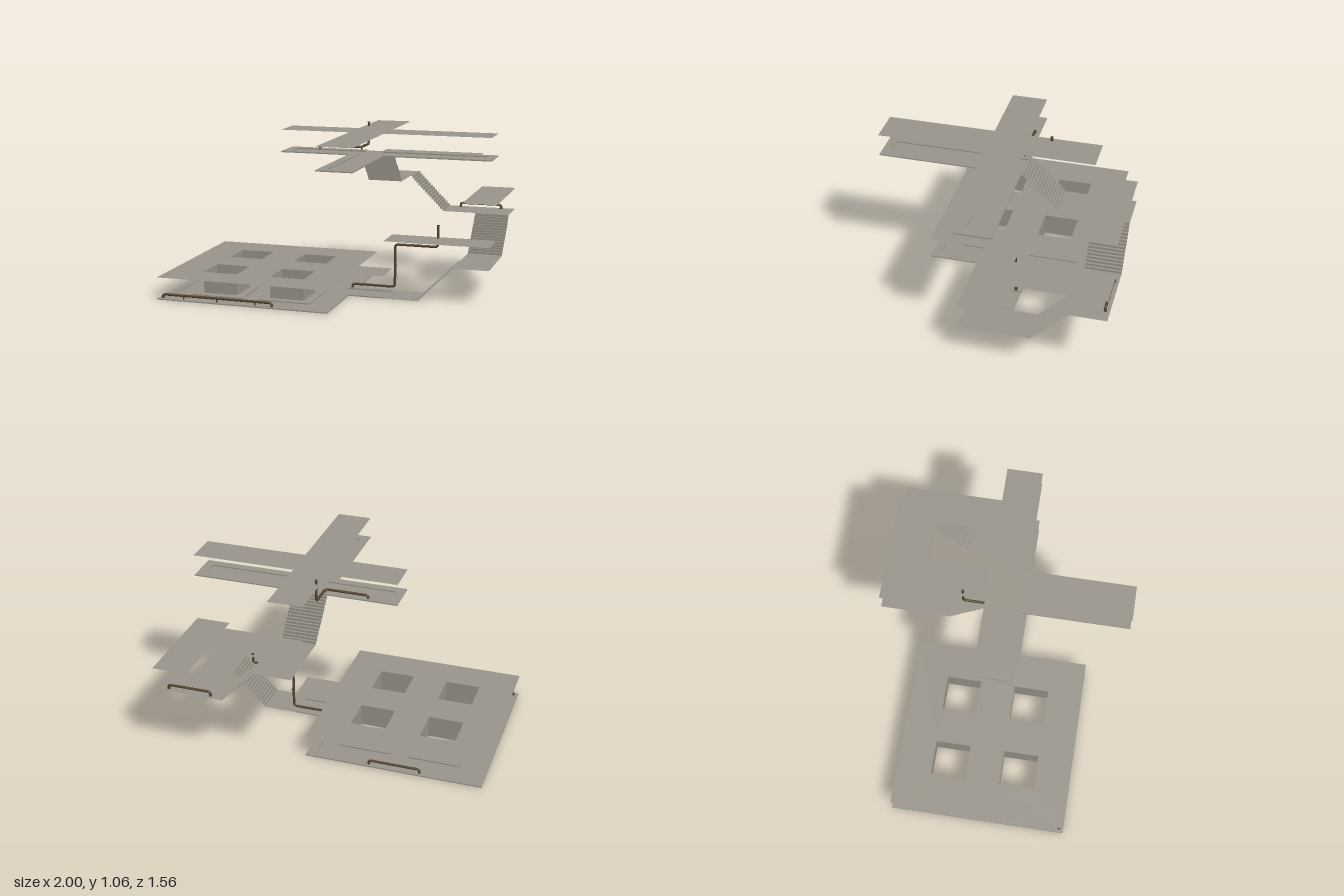
import * as THREE from 'three';
import { mergeGeometries } from 'three/addons/utils/BufferGeometryUtils.js';

const U = 2 / 9;                 // one grid cell
const X = c => -1 + c * U;       // column edge
const Z = r => (r - 3.5) * U;    // row edge
const RISE = 0.2235;             // height gained per flight
const ROOM = 0.142;              // floor to ceiling

export function createModel() {
  const model = new THREE.Group();
  const concrete = new THREE.MeshStandardMaterial({ color: 0x98948a, side: THREE.DoubleSide });
  concrete.name = 'concrete';
  const bronze = new THREE.MeshStandardMaterial({ color: 0x54452e });
  bronze.name = 'bronze pipe';
  const lampGrey = new THREE.MeshStandardMaterial({ color: 0x8c8982 });
  lampGrey.name = 'lamp grey';

  const add = (name, geo, mat) => {
    const mesh = new THREE.Mesh(geo, mat);
    mesh.name = name;
    model.add(mesh);
    return mesh;
  };

  // Flat sheet from cell corners, with optional one-cell holes
  const sheet = (name, corners, y, holes = []) => {
    const toPoint = ([c, r]) => new THREE.Vector2(X(c), -Z(r));
    const shape = new THREE.Shape(corners.map(toPoint));
    for (const [c, r] of holes) {
      shape.holes.push(new THREE.Path([[c, r], [c + 1, r], [c + 1, r + 1], [c, r + 1]].map(toPoint)));
    }
    const geo = new THREE.ShapeGeometry(shape);
    geo.rotateX(-Math.PI / 2).translate(0, y, 0);
    add(name, geo, concrete);
  };
  const rect = (c0, r0, c1, r1) => [[c0, r1], [c1, r1], [c1, r0], [c0, r0]];

  // Low raised border along the edges of a set of cells
  const border = (name, cells, open, y) => {
    const has = new Set([...cells, ...open].map(String));
    const w = 0.055, h = 0.007, parts = [];
    for (const [c, r] of cells) {
      for (const i of [-1, 0, 1]) for (const j of [-1, 0, 1]) {
        const near = [[c + i, r], [c, r + j]];
        if (i && j) near.push([c + i, r + j]);
        const inside = near.every(n => has.has(String(n)));
        const towardOpen = open.some(([a, b]) => (a === c + i && b === r) || (a === c && b === r + j));
        if (inside || (towardOpen && !(i && j))) continue;
        const sx = i ? w : U - 2 * w, sz = j ? w : U - 2 * w;
        parts.push(new THREE.BoxGeometry(sx, h, sz).translate(
          X(c + 0.5) + i * (U - w) / 2, y + h / 2, Z(r + 0.5) + j * (U - w) / 2));
      }
    }
    add(name, mergeGeometries(parts), concrete);
  };

  // Lower hall: floor, ceiling and four hollow pillars
  const pillars = [[1, 2], [3, 2], [1, 4], [3, 4]];
  const hall = end => [[0, 6], [5, 6], [5, 4], [end, 4], [end, 3], [5, 3], [5, 1], [0, 1]];
  sheet('hallFloor', hall(7), 0, pillars);
  sheet('hallCeiling', hall(6), ROOM, pillars);
  for (const [c, r] of pillars) {
    const wall = new THREE.CylinderGeometry(U / Math.SQRT2, U / Math.SQRT2, ROOM, 4, 1, true).toNonIndexed();
    wall.rotateY(Math.PI / 4).computeVertexNormals();
    add('pillar', wall, concrete).position.set(X(c + 0.5), ROOM / 2, Z(r + 0.5));
  }
  const hallCells = [[5, 3]];
  for (let c = 0; c < 5; c++) for (let r = 1; r < 6; r++) {
    if (!pillars.some(p => p[0] === c && p[1] === r)) hallCells.push([c, r]);
  }
  border('hallBorder', hallCells, [[6, 3]], 0);

  // Upper crossing: floor, ceiling and border
  const top = RISE * 4;
  const cross = back => [[3, 4], [5, 4], [5, 7], [6, 7], [6, 4], [9, 4], [9, 3], [6, 3], [6, back], [5, back], [5, 3], [3, 3]];
  sheet('upperFloor', [[3, 4], [5, 4], [5, 7], [6, 7], [6, 4], [9, 4], [9, 3], [3, 3]], top);
  sheet('upperCeiling', cross(1), top + ROOM);
  const crossCells = [[5, 4], [5, 5], [5, 6]];
  for (let c = 3; c < 9; c++) crossCells.push([c, 3]);
  border('upperBorder', crossCells, [[5, 2]], top);

  // Landings and passage ceilings around the stairwell
  sheet('landing', [[8, 4], [9, 4], [9, 2], [8, 2]], RISE);
  sheet('landing', rect(7, 0, 9, 1), RISE * 2);
  sheet('landing', rect(5, 0, 6, 2), RISE * 3);
  sheet('passageCeiling', rect(6, 3, 9, 4), RISE + ROOM);
  sheet('passageCeiling', rect(8, 0, 9, 3), RISE * 2 + ROOM);
  sheet('passageCeiling', rect(5, 0, 8, 1), RISE * 3 + ROOM);

  // Stair flight: folded sheet of treads and risers, climbing along local +x
  const STEPS = 15;
  const flight = () => {
    const run = U / STEPS, rise = RISE / STEPS, parts = [];
    for (let i = 0; i < STEPS; i++) {
      parts.push(new THREE.PlaneGeometry(U, rise).rotateY(-Math.PI / 2)
        .translate(i * run, (i + 0.5) * rise, 0));
      parts.push(new THREE.PlaneGeometry(run, U).rotateX(-Math.PI / 2)
        .translate((i + 0.5) * run, (i + 1) * rise, 0));
    }
    return mergeGeometries(parts);
  };
  [[7, 3.5, 0], [8.5, 2, 1], [7, 0.5, 2], [5.5, 2, 3]].forEach(([c, r, turn], level) => {
    const stair = add('stairFlight', flight(), concrete);
    stair.position.set(X(c), RISE * level, Z(r));
    stair.rotation.y = turn * Math.PI / 2;
  });

  // Pipes with rounded bends and capped ends
  const R = 0.008;
  const pipe = points => {
    const p = points.map(a => new THREE.Vector3(...a));
    const path = new THREE.CurvePath();
    let from = p[0];
    for (let i = 1; i < p.length - 1; i++) {
      const toward = q => p[i].clone().add(
        q.clone().sub(p[i]).setLength(Math.min(0.022, q.distanceTo(p[i]) * 0.49)));
      const a = toward(p[i - 1]), b = toward(p[i + 1]);
      path.add(new THREE.LineCurve3(from, a));
      path.add(new THREE.QuadraticBezierCurve3(a, p[i], b));
      from = b;
    }
    path.add(new THREE.LineCurve3(from, p[p.length - 1]));
    const parts = [new THREE.TubeGeometry(path, 160, R, 10)];
    for (const e of [p[0], p[p.length - 1]]) {
      parts.push(new THREE.CylinderGeometry(R * 1.2, R * 1.2, 0.006, 10).translate(e.x, e.y + 0.001, e.z));
    }
    add('pipe', mergeGeometries(parts), bronze);
  };
  const lowPipe = (x0, x1, y, z) => pipe([[x0, y, z], [x0, y + 0.027, z], [x1, y + 0.027, z], [x1, y, z]]);
  lowPipe(-0.97, -0.25, 0.004, 0.53);
  lowPipe(-0.61, -0.29, 0.004, -0.53);
  lowPipe(0.64, 0.913, RISE * 2, -0.75);
  pipe([[0.08, 0.004, -0.083], [0.08, 0.031, -0.083], [0.36, 0.031, -0.083], [0.36, 0.308, -0.083],
    [0.637, 0.308, -0.083], [0.637, 0.445, -0.083]]);
  pipe([[-0.14, top, -0.083], [-0.14, top + 0.027, -0.083], [0.135, top + 0.027, -0.083],
    [0.135, top + 0.027, -0.25], [0.135, 1.058, -0.25]]);

  // Small pipe brackets
  const bracket = (x, y, z, alongZ) => {
    const geo = new THREE.CylinderGeometry(0.005, 0.005, 0.028, 8);
    if (alongZ) geo.rotateX(Math.PI / 2);
    add('pipeBracket', geo, bronze).position.set(x, y, z);
  };
  for (const x of [-0.83, -0.61, -0.36]) bracket(x, 0.017, 0.53);
  bracket(0.135, top + 0.014, -0.083);
  for (const [x, y] of [[0.36, 0.17], [0.5, 0.308]]) bracket(x, y, -0.097, true);

  // Round ceiling lamps
  const lamps = [[0, 3, 0], [2, 3, 0], [2, 1, 0], [2, 5, 0], [4, 3, 0], [5, 3, 0],
    [8, 3, 1], [8, 0, 2], [5, 0, 3], [5, 3, 4], [5, 6, 4], [8, 3, 4]];
  for (const [c, r, level] of lamps) {
    add('ceilingLamp', new THREE.CylinderGeometry(0.026, 0.026, 0.004, 20), lampGrey)
      .position.set(X(c + 0.5), RISE * level + ROOM - 0.003, Z(r + 0.5));
  }
  return model;
}
